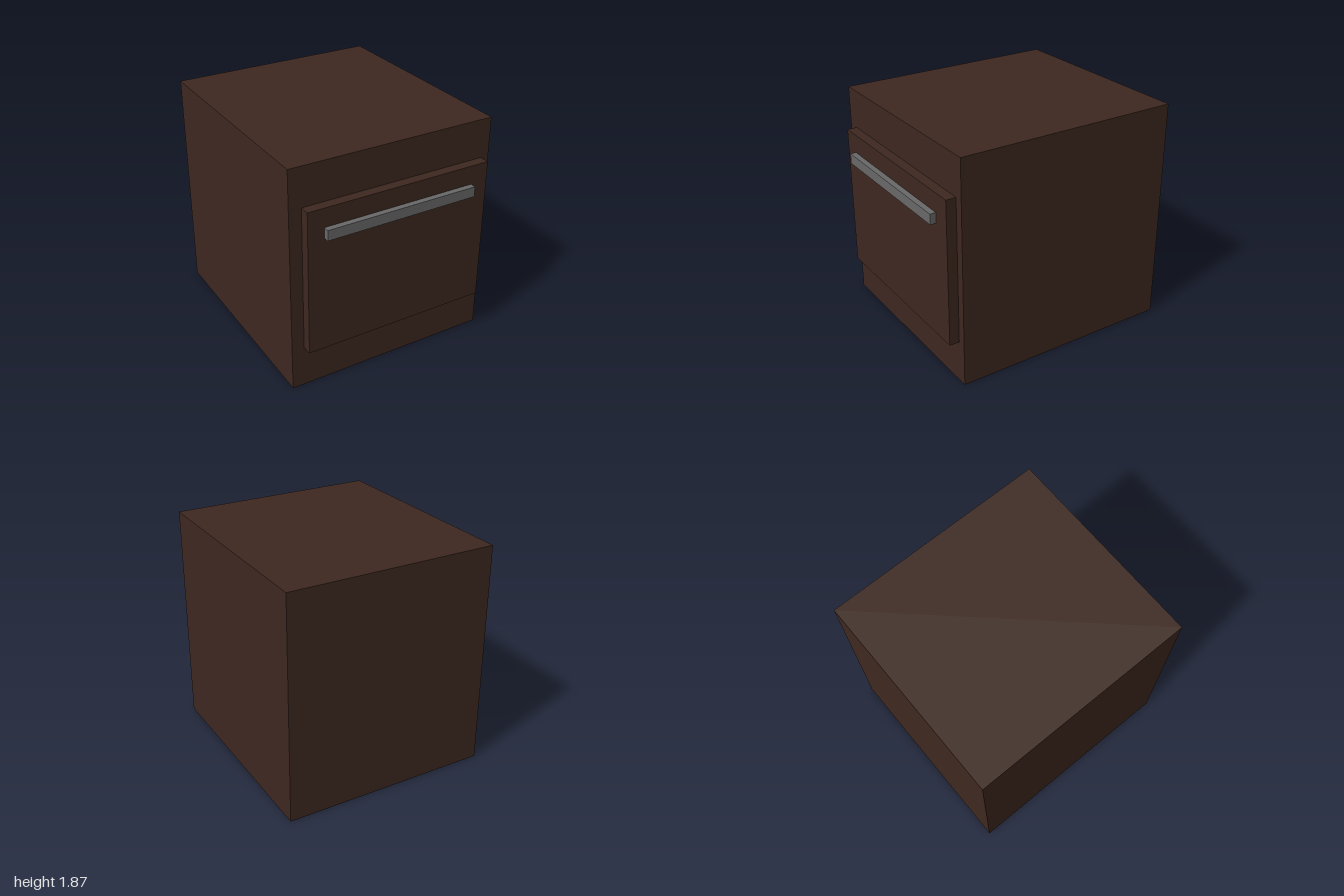
import * as THREE from 'three';

export function createModel() {
  const group = new THREE.Group();
  const wood = new THREE.MeshStandardMaterial({ color: 0x3e2820 });
  const metal = new THREE.MeshStandardMaterial({ color: 0x696969 });

  // Box given by its min and max corners
  function addBox(name, material, [x0, y0, z0], [x1, y1, z1]) {
    const mesh = new THREE.Mesh(new THREE.BoxGeometry(x1 - x0, y1 - y0, z1 - z0), material);
    mesh.position.set((x0 + x1) / 2, (y0 + y1) / 2, (z0 + z1) / 2);
    mesh.name = name;
    group.add(mesh);
  }

  // Cabinet body
  addBox('cabinetBody', wood, [-0.865, 0, -1], [0.865, 1.87, 0.87]);
  // Drawer front, slightly off centre
  addBox('drawerFront', wood, [-0.763, 0.35, 0.87], [0.797, 1.55, 0.952]);
  // Bar handle
  addBox('handle', metal, [-0.63, 1.31, 0.952], [0.653, 1.395, 1]);

  return group;
}
